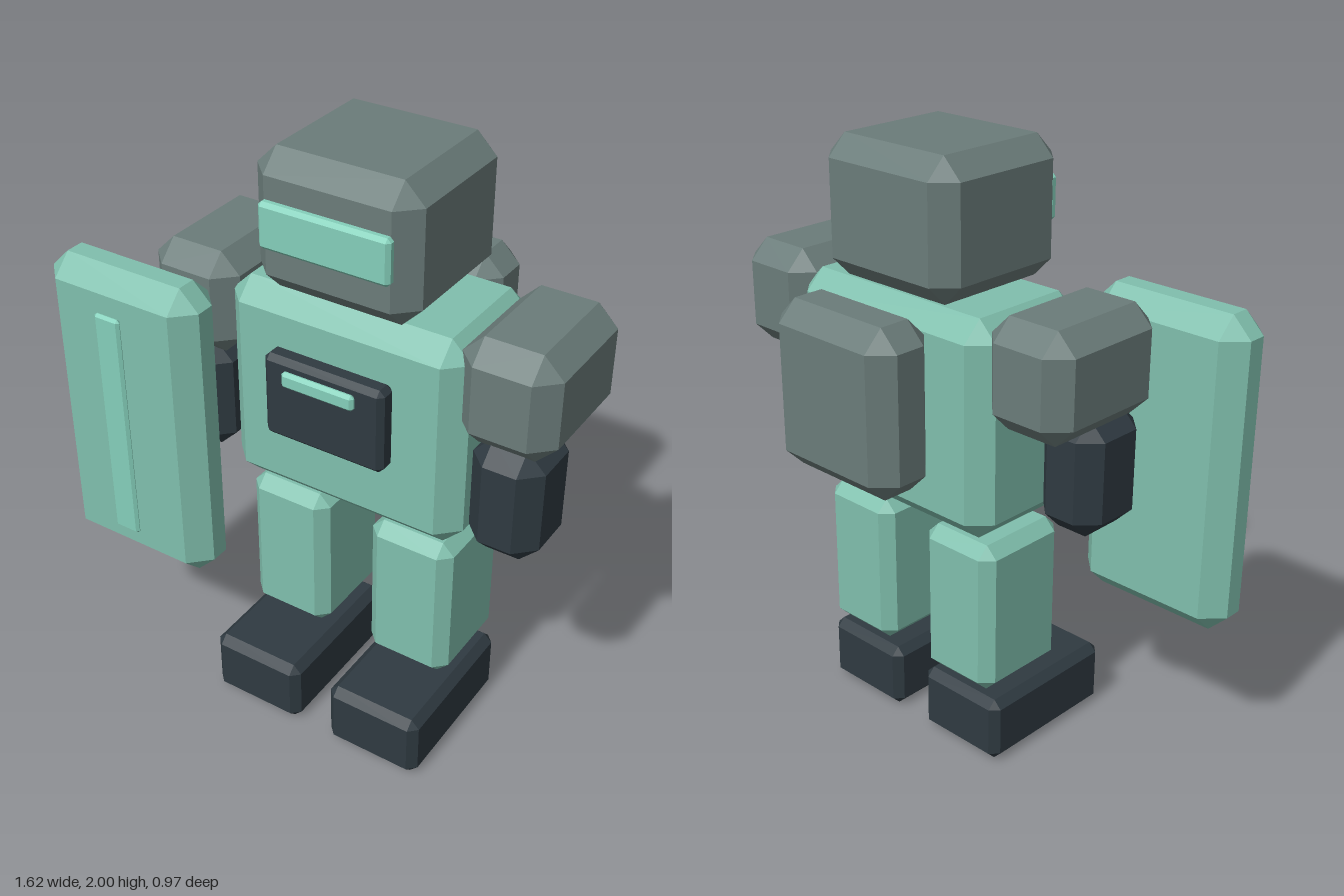
import * as THREE from 'three';
import { ConvexGeometry } from 'three/addons/geometries/ConvexGeometry.js';

const MID = 0.116; // x of the body's mirror plane

// Box with one flat chamfer on every edge and a triangle on every corner
function chamferBox(w, h, d, b) {
  const pts = [];
  for (const x of [-w / 2, w / 2]) for (const y of [-h / 2, h / 2]) for (const z of [-d / 2, d / 2]) {
    const [ix, iy, iz] = [x, y, z].map((v) => v - Math.sign(v) * b);
    pts.push(new THREE.Vector3(x, iy, iz), new THREE.Vector3(ix, y, iz), new THREE.Vector3(ix, iy, z));
  }
  return new ConvexGeometry(pts);
}

export function createModel() {
  const model = new THREE.Group();
  model.name = 'robot';

  const colour = (name, hex) => {
    const m = new THREE.MeshStandardMaterial({ color: hex });
    m.name = name;
    return m;
  };
  const mint = colour('mint armour', 0x80bfad);
  const accent = colour('bright mint', 0x84cfba);
  const grey = colour('grey armour', 0x6b7c7a);
  const dark = colour('dark slate', 0x2f3a41);

  // Place a chamfered box by its [min, max] extent on each axis
  function part(name, material, [x0, x1], [y0, y1], [z0, z1], bevel) {
    const mesh = new THREE.Mesh(chamferBox(x1 - x0, y1 - y0, z1 - z0, bevel), material);
    mesh.position.set((x0 + x1) / 2, (y0 + y1) / 2, (z0 + z1) / 2);
    mesh.name = name;
    model.add(mesh);
  }

  // Same, once per side, with x measured outward from the mirror plane
  function pair(name, material, [x0, x1], y, z, bevel) {
    part('left' + name, material, [MID + x0, MID + x1], y, z, bevel);
    part('right' + name, material, [MID - x1, MID - x0], y, z, bevel);
  }

  // Head and visor
  part('head', grey, [-0.157, 0.389], [1.56, 2], [-0.25, 0.273], 0.066);
  part('visor', accent, [-0.1, 0.333], [1.717, 1.863], [0.262, 0.3], 0.012);

  // Torso, chest panel and backpack
  part('torso', mint, [-0.285, 0.534], [0.833, 1.547], [-0.236, 0.241], 0.066);
  part('chestPanel', dark, [-0.09, 0.325], [1.097, 1.382], [0.236, 0.31], 0.018);
  part('chestLight', accent, [-0.01, 0.24], [1.302, 1.355], [0.31, 0.335], 0.01);
  part('backpack', grey, [-0.137, 0.37], [1.0, 1.547], [-0.486, -0.25], 0.066);

  // Arms
  pair('Shoulder', grey, [0.382, 0.695], [1.235, 1.585], [-0.234, 0.236], 0.066);
  pair('Forearm', dark, [0.43, 0.663], [0.864, 1.256], [-0.044, 0.225], 0.062);

  // Legs and feet
  pair('Leg', mint, [0.081, 0.375], [0.26, 0.79], [-0.173, 0.18], 0.04);
  pair('Foot', dark, [0.06, 0.395], [0, 0.228], [-0.155, 0.382], 0.028);

  // Shield with a floating stripe in front
  part('shield', mint, [-0.814, -0.253], [0.512, 1.564], [0.26, 0.455], 0.066);
  part('shieldStripe', accent, [-0.58, -0.485], [0.645, 1.445], [0.466, 0.486], 0.009);

  return model;
}
